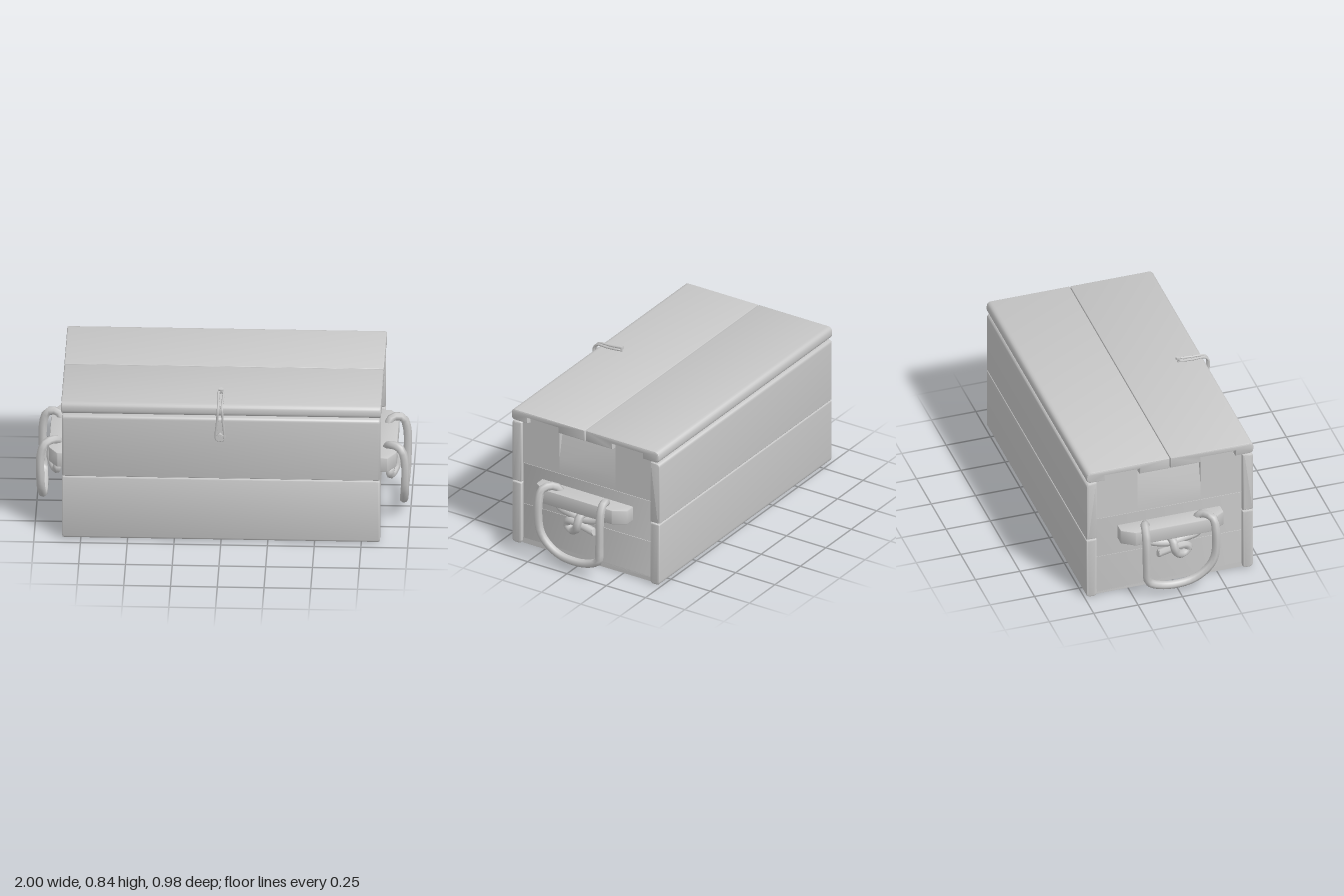
import * as THREE from 'three';
import { mergeVertices, toCreasedNormals } from 'three/addons/utils/BufferGeometryUtils.js';

const grey = new THREE.MeshStandardMaterial({ color: 0xc8c8c8 });
grey.name = 'plain grey';

const V = (x, y, z) => new THREE.Vector3(x, y, z);

// Closed outline from [a, b, cornerRadius] points
function outline(points) {
  const shape = new THREE.Shape();
  const n = points.length;
  points.forEach(([a, b, r = 0], i) => {
    const p = new THREE.Vector2(a, b);
    const toward = (q) => new THREE.Vector2(q[0], q[1]).sub(p).setLength(r).add(p);
    const start = toward(points[(i + n - 1) % n]);
    const end = toward(points[(i + 1) % n]);
    if (i === 0) shape.moveTo(start.x, start.y);
    else shape.lineTo(start.x, start.y);
    if (r > 0) shape.quadraticCurveTo(p.x, p.y, end.x, end.y);
  });
  shape.closePath();
  return shape;
}

// Extruded solid with a small bevel, centred along its depth
function extrude(points, depth, bevel = 0) {
  const geo = new THREE.ExtrudeGeometry(outline(points), {
    depth: depth - 2 * bevel, curveSegments: 5,
    bevelEnabled: bevel > 0, bevelSize: bevel, bevelThickness: bevel,
    bevelOffset: -bevel, bevelSegments: 2,
  });
  geo.translate(0, 0, -(depth - 2 * bevel) / 2);
  geo.deleteAttribute('normal');
  geo.deleteAttribute('uv');
  return toCreasedNormals(mergeVertices(geo, 1e-5), 0.75);
}

// Outline in (z, y), extruded along x
const alongX = (points, length, bevel) => extrude(points, length, bevel).rotateY(-Math.PI / 2);

// Outline in (x, y), extruded from z0 to z1
const alongZ = (points, z0, z1, bevel) =>
  extrude(points, Math.abs(z1 - z0), bevel).translate(0, 0, (z0 + z1) / 2);

// Outline in (x, z), extruded from y0 to y1
const alongY = (points, y0, y1, bevel) =>
  extrude(points.map(([x, z, r]) => [x, -z, r]), y1 - y0, bevel)
    .rotateX(-Math.PI / 2).translate(0, (y0 + y1) / 2, 0);

const rect = (a0, a1, b0, b1) => [[a0, b0], [a1, b0], [a1, b1], [a0, b1]];

// Rope along a curve, closed off with rounded tips
function rope(points, radius, segments, sides = 7, closed = false) {
  const curve = new THREE.CatmullRomCurve3(points, closed, 'centripetal');
  return new THREE.TubeGeometry(curve, segments, radius, sides, closed);
}

// Mirror across x, keeping faces turned outward
function mirrorX(source) {
  const geo = source.index ? source.toNonIndexed() : source.clone();
  geo.scale(-1, 1, 1);
  for (const attr of Object.values(geo.attributes)) {
    const { array, itemSize: k } = attr;
    for (let t = 0; t < array.length; t += 3 * k) {
      for (let j = 0; j < k; j++) {
        const tmp = array[t + k + j];
        array[t + k + j] = array[t + 2 * k + j];
        array[t + 2 * k + j] = tmp;
      }
    }
  }
  return geo;
}

export function createModel() {
  const model = new THREE.Group();
  model.name = 'chest';
  const add = (name, geo, parent = model) => {
    const mesh = new THREE.Mesh(geo, grey);
    mesh.name = name;
    parent.add(mesh);
  };
  const MID = -0.02; // chest centre along z

  // Front and back walls, two planks each; lid halves notched for the end tabs
  for (const [side, s] of [['front', 1], ['back', -1]]) {
    const map = (points) => {
      const out = points.map(([d, y, r]) => [MID + s * d, y, r]);
      return s > 0 ? out : out.reverse();
    };
    add(side + 'LowerPlank', alongX(map([
      [0.41, 0.005, 0.02], [0.47, 0.005, 0.025], [0.47, 0.372, 0.006], [0.41, 0.372, 0.006],
    ]), 1.7, 0.01));
    add(side + 'UpperPlank', alongX(map([
      [0.41, 0.377, 0.006], [0.47, 0.377, 0.006], [0.47, 0.738, 0.02], [0.41, 0.738, 0.006],
    ]), 1.7, 0.01));
    add(side + 'LidPlank', alongX(map([
      [0.002, 0.747], [0.173, 0.747], [0.173, 0.779], [0.367, 0.779], [0.367, 0.747],
      [0.47, 0.747, 0.025], [0.47, 0.812, 0.03], [0.002, 0.812, 0.004],
    ]), 1.71, 0.008));
  }

  // Floor
  add('floor', new THREE.BoxGeometry(1.66, 0.03, 0.83).translate(0, 0.022, MID));

  // Everything at one end of the chest, built at +x and mirrored to -x
  const endParts = [];
  const part = (name, geo) => endParts.push([name, geo]);
  const IN = 0.77, OUT = 0.83;

  // End wall planks; the top one has a sloping finger recess between two tabs
  part('lowerEndPlank', alongZ(rect(IN, OUT, 0.006, 0.244), -0.43, 0.39, 0.004));
  part('middleEndPlank', alongZ(rect(IN, OUT, 0.246, 0.489), -0.43, 0.39, 0.002));
  for (const s of [1, -1]) {
    part('upperEndPlank', alongZ(rect(IN, OUT, 0.491, 0.745), MID + s * 0.178, MID + s * 0.41));
    part('endTab', alongZ(rect(IN, OUT, 0.74, 0.776), MID + s * 0.178, MID + s * 0.364));
  }
  part('fingerRecess', alongZ([
    [IN, 0.491], [OUT, 0.491], [OUT, 0.58], [0.795, 0.747], [IN, 0.747],
  ], MID - 0.178, MID + 0.178));

  // Handle block with tapered ends
  part('handleBlock', alongY([
    [0.82, 0.27], [0.885, 0.27], [0.93, 0.2], [0.93, -0.24], [0.885, -0.31], [0.82, -0.31],
  ].reverse().map(([x, z]) => [x, z, 0.004]), 0.34, 0.425, 0.006));

  // Hanging rope loop, passing over the block and down through it
  part('handleRope', rope([
    V(0.87, 0.33, 0.13), V(0.875, 0.42, 0.125), V(0.9, 0.447, 0.155), V(0.95, 0.44, 0.19),
    V(0.972, 0.38, 0.198), V(0.974, 0.21, 0.19), V(0.97, 0.14, 0.15), V(0.965, 0.085, 0.07),
    V(0.963, 0.07, -0.03), V(0.965, 0.085, -0.12), V(0.97, 0.12, -0.18), V(0.974, 0.21, -0.19),
    V(0.972, 0.38, -0.193), V(0.95, 0.44, -0.19), V(0.9, 0.447, -0.18), V(0.875, 0.42, -0.165),
    V(0.87, 0.33, -0.155),
  ], 0.023, 48));

  // Knot under the block tying the two rope ends together
  part('knotLoop', rope([
    V(0.87, 0.345, 0.15), V(0.875, 0.315, 0.12), V(0.88, 0.3, 0.05), V(0.885, 0.29, -0.02),
    V(0.88, 0.3, -0.1), V(0.875, 0.32, -0.15), V(0.87, 0.345, -0.16),
  ], 0.021, 24));
  part('knotWrap', rope([
    V(0.87, 0.27, -0.04), V(0.87, 0.32, -0.035), V(0.91, 0.318, -0.025), V(0.928, 0.28, -0.02),
    V(0.92, 0.24, -0.005), V(0.9, 0.215, 0.035), V(0.89, 0.235, 0.07), V(0.895, 0.265, 0.055),
    V(0.9, 0.27, 0.01), V(0.895, 0.255, -0.04), V(0.89, 0.238, -0.095),
  ], 0.023, 36));
  const tip = new THREE.CylinderGeometry(0.023, 0.023, 0.012, 7);
  part('ropeTip', tip.rotateX(Math.PI / 2 + 0.3).translate(0.89, 0.238, -0.095));

  for (const [side, flip] of [['left', false], ['right', true]]) {
    const end = new THREE.Group();
    end.name = side + 'End';
    model.add(end);
    for (const [name, geo] of endParts) add(name, flip ? mirrorX(geo) : geo, end);
  }

  // Cord latch: a loop from a peg on the lid over a peg on the front
  const latch = new THREE.Group();
  latch.name = 'latch';
  latch.position.x = -0.005;
  model.add(latch);
  const strand = [[0.009, 0.826, 0.31], [0.013, 0.82, 0.38], [0.01, 0.817, 0.45],
    [0.011, 0.795, 0.472], [0.015, 0.73, 0.47], [0.022, 0.65, 0.464], [0.018, 0.615, 0.462]];
  add('latchCord', rope([
    ...strand.map(([x, y, z]) => V(x, y, z)),
    ...strand.map(([x, y, z]) => V(-x, y, z)).reverse(),
  ], 0.007, 60, 6, true), latch);
  const peg = (r, length) => new THREE.CylinderGeometry(r, r, length, 6);
  add('lidPeg', peg(0.007, 0.04).translate(0, 0.822, 0.305), latch);
  add('lidPegHead', peg(0.014, 0.012).rotateX(0.15).translate(0, 0.836, 0.304), latch);
  add('frontPeg', peg(0.012, 0.06).rotateX(Math.PI / 2).translate(0, 0.64, 0.46), latch);
  add('frontPegHead', peg(0.021, 0.012).rotateX(Math.PI / 2).translate(0, 0.64, 0.483), latch);

  return model;
}
